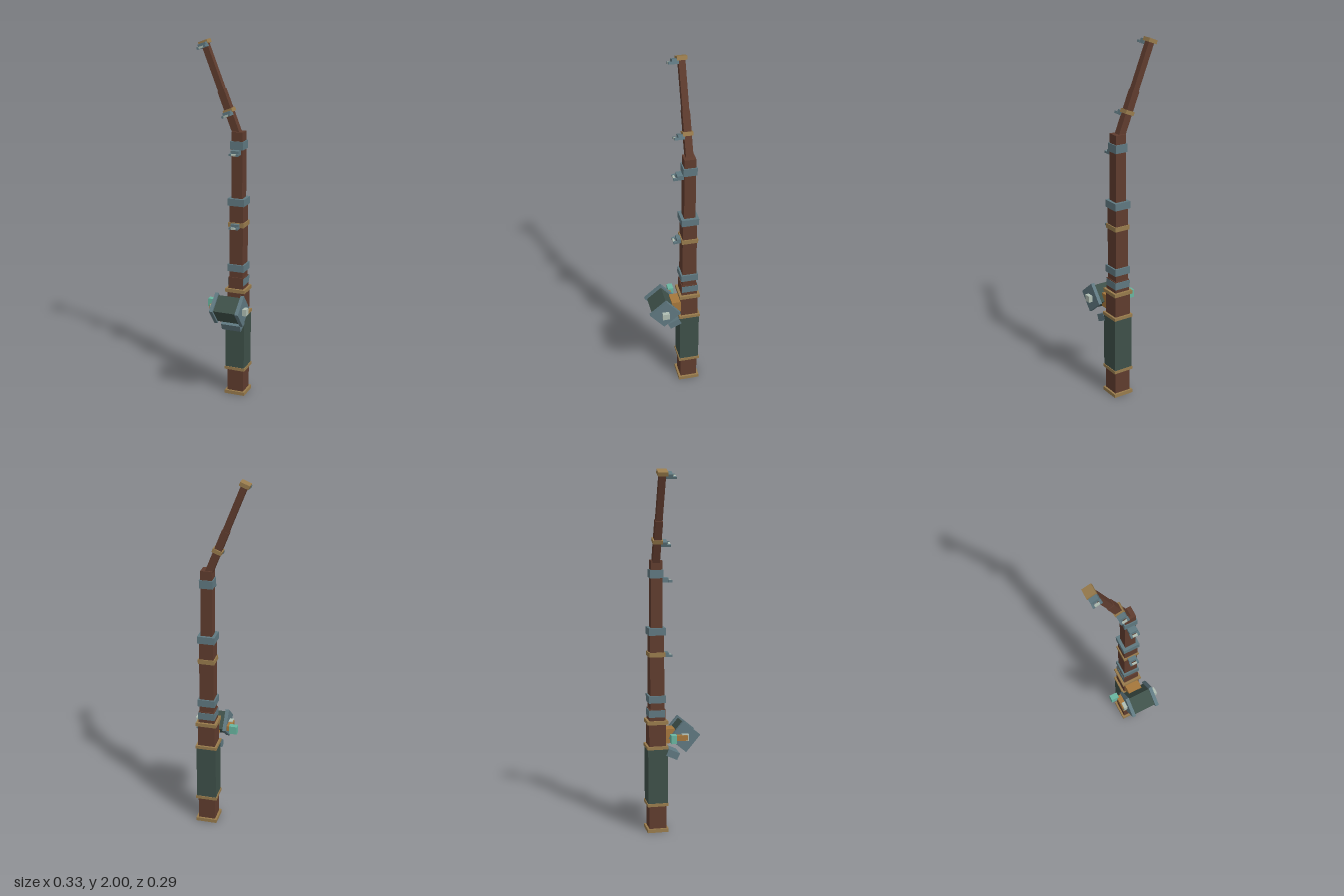
import * as THREE from 'three';

const mat = (name, color) => {
  const m = new THREE.MeshStandardMaterial({ color });
  m.name = name;
  return m;
};

export function createModel() {
  const wood = mat('wood', 0x5f3c2e);
  const brass = mat('brass', 0x987b4c);
  const copper = mat('copper', 0xa5773c);
  const steel = mat('steel', 0x5f7880);
  const green = mat('darkGreen', 0x3e5049);
  const pale = mat('paleMetal', 0xb0beb3);
  const teal = mat('teal', 0x69b5a0);

  const model = new THREE.Group();
  model.name = 'fishingRod';

  const box = (parent, name, m, size, pos, rx = 0) => {
    const mesh = new THREE.Mesh(new THREE.BoxGeometry(...size), m);
    mesh.name = name;
    mesh.position.set(...pos);
    mesh.rotation.x = rx;
    parent.add(mesh);
    return mesh;
  };

  // Straight rod: stacked square sections [name, material, width, bottom, top]
  const X = 0.06, Z = -0.088;
  const sections = [
    ['buttCap', brass, 0.118, 0, 0.02],
    ['buttWood', wood, 0.095, 0.02, 0.15],
    ['gripLowerBand', brass, 0.118, 0.15, 0.167],
    ['grip', green, 0.11, 0.167, 0.475],
    ['gripUpperBand', brass, 0.118, 0.475, 0.492],
    ['reelSeat', wood, 0.095, 0.492, 0.615],
    ['reelSeatBand', brass, 0.115, 0.615, 0.635],
    ['lowerRod', wood, 0.088, 0.635, 0.7],
    ['lowerRodNeck', wood, 0.078, 0.7, 0.74],
    ['lowerFerrule', steel, 0.096, 0.735, 0.775],
    ['middleRod', wood, 0.078, 0.775, 1.115],
    ['middleBand', brass, 0.09, 0.99, 1.015],
    ['middleFerrule', steel, 0.095, 1.11, 1.15],
    ['upperRod', wood, 0.062, 1.15, 1.515],
    ['upperFerrule', steel, 0.074, 1.42, 1.465],
  ];
  for (const [name, m, w, y0, y1] of sections)
    box(model, name, m, [w, y1 - y0, w], [X, (y0 + y1) / 2, Z]);
  // Collar set slightly back so the wood shows on the front
  box(model, 'collar', steel, [0.092, 0.04, 0.09], [X, 0.675, Z - 0.003]);

  // Line guide: foot, two arms and a pale cross bar
  const lineGuide = (parent, x, y, z) => {
    const g = new THREE.Group();
    g.name = 'lineGuide';
    g.position.set(x, y, z);
    box(g, 'guideFoot', steel, [0.046, 0.026, 0.034], [0, 0, -0.038]);
    for (const s of [-1, 1])
      box(g, 'guideArm', steel, [0.012, 0.012, 0.022], [s * 0.02, -0.006, -0.012]);
    box(g, 'guideBar', pale, [0.038, 0.01, 0.011], [0, -0.006, -0.007]);
    parent.add(g);
  };
  lineGuide(model, X, 1.407, 0);
  lineGuide(model, X, 0.999, 0);

  // Bent tip, leaning to the rod's right
  const tip = new THREE.Group();
  tip.name = 'tip';
  tip.position.set(0.004, 1.62, -0.09);
  tip.rotation.z = 0.376;
  model.add(tip);
  box(tip, 'tipLower', wood, [0.04, 0.25, 0.04], [0, -0.005, 0]);
  box(tip, 'tipUpper', wood, [0.034, 0.27, 0.035], [0, 0.25, 0]);
  for (const y of [0.003, 0.386]) {
    box(tip, 'tipBand', brass, [0.053, 0.021, 0.054], [0, y, 0]);
    lineGuide(tip, 0, y - 0.014, 0.073);
  }

  // Reel: mount, tilted foot, square spool with flanges
  const reel = new THREE.Group();
  reel.name = 'reel';
  model.add(reel);
  const RY = 0.548, RZ = 0.057, tilt = THREE.MathUtils.degToRad(40);
  box(reel, 'reelMount', copper, [0.08, 0.08, 0.056], [X, 0.545, -0.018]);
  box(reel, 'reelFoot', steel, [0.112, 0.04, 0.068], [X, 0.443, -0.003], 0.43);
  box(reel, 'spool', green, [0.132, 0.105, 0.105], [0.061, RY, RZ], tilt);
  for (const x of [-0.0135, 0.1355])
    box(reel, 'spoolFlange', steel, [0.02, 0.124, 0.124], [x, RY, RZ], tilt);
  box(reel, 'axle', pale, [0.213, 0.037, 0.038], [0.0615, RY, RZ]);

  // Crank on the right side
  box(reel, 'crankArm', copper, [0.029, 0.03, 0.08], [-0.0375, RY, 0.027]);
  box(reel, 'crankHandle', teal, [0.045, 0.046, 0.031], [-0.0645, 0.55, -0.0155]);

  return model;
}
